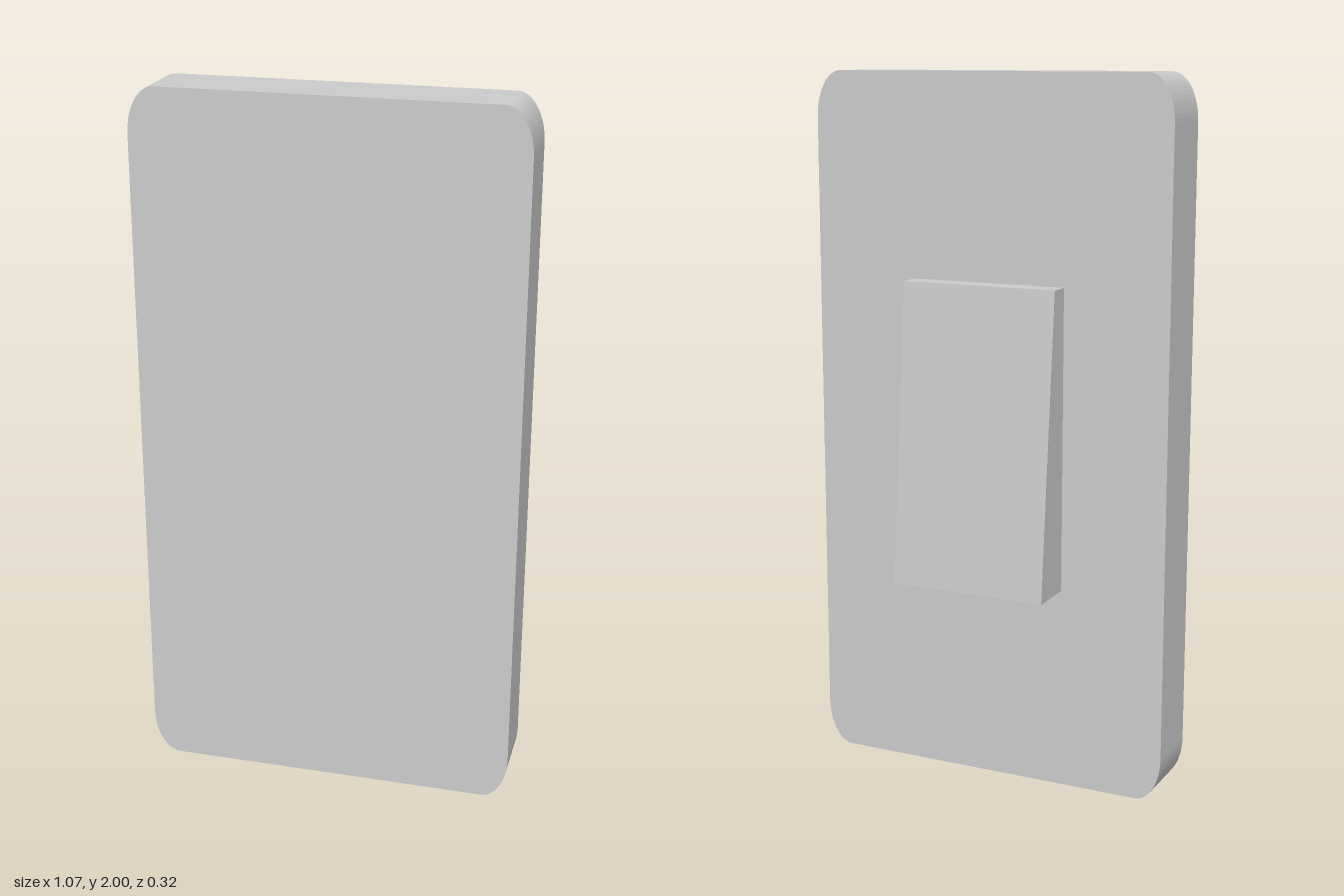
import * as THREE from 'three';

const material = new THREE.MeshStandardMaterial({ color: 0xcccccc, flatShading: true });

// Extrude an outline into a named mesh
function extrude(name, shape, depth, curveSegments = 8) {
  const geometry = new THREE.ExtrudeGeometry(shape, { depth, bevelEnabled: false, curveSegments });
  const mesh = new THREE.Mesh(geometry, material);
  mesh.name = name;
  return mesh;
}

// Upright rectangle with elliptical corners
function plateShape(halfWidth, height, rx, ry) {
  const x = halfWidth - rx, top = height - ry, q = Math.PI / 2;
  const shape = new THREE.Shape();
  shape.moveTo(-x, 0);
  [[x, ry, 3], [x, top, 0], [-x, top, 1], [-x, ry, 2]].forEach(([cx, cy, k]) =>
    shape.absellipse(cx, cy, rx, ry, k * q, (k + 1) * q, false, 0));
  return shape;
}

export function createModel() {
  const group = new THREE.Group();
  group.name = 'wallSwitch';

  // Cover plate
  const plate = extrude('coverPlate', plateShape(0.533, 2, 0.075, 0.13), 0.181);
  plate.position.z = -0.022;
  group.add(plate);

  // Wedge-shaped rocker on the back: side profile (z, y) extruded across x
  const profile = new THREE.Shape([
    [0.022, 0.577], [0.159, 0.577], [0.083, 1.43], [0.022, 1.43],
  ].map(([z, y]) => new THREE.Vector2(z, y)));
  const rocker = extrude('rocker', profile, 0.456);
  rocker.rotation.y = Math.PI / 2; // profile x becomes -z, depth becomes +x
  rocker.position.x = -0.228;
  group.add(rocker);

  return group;
}
